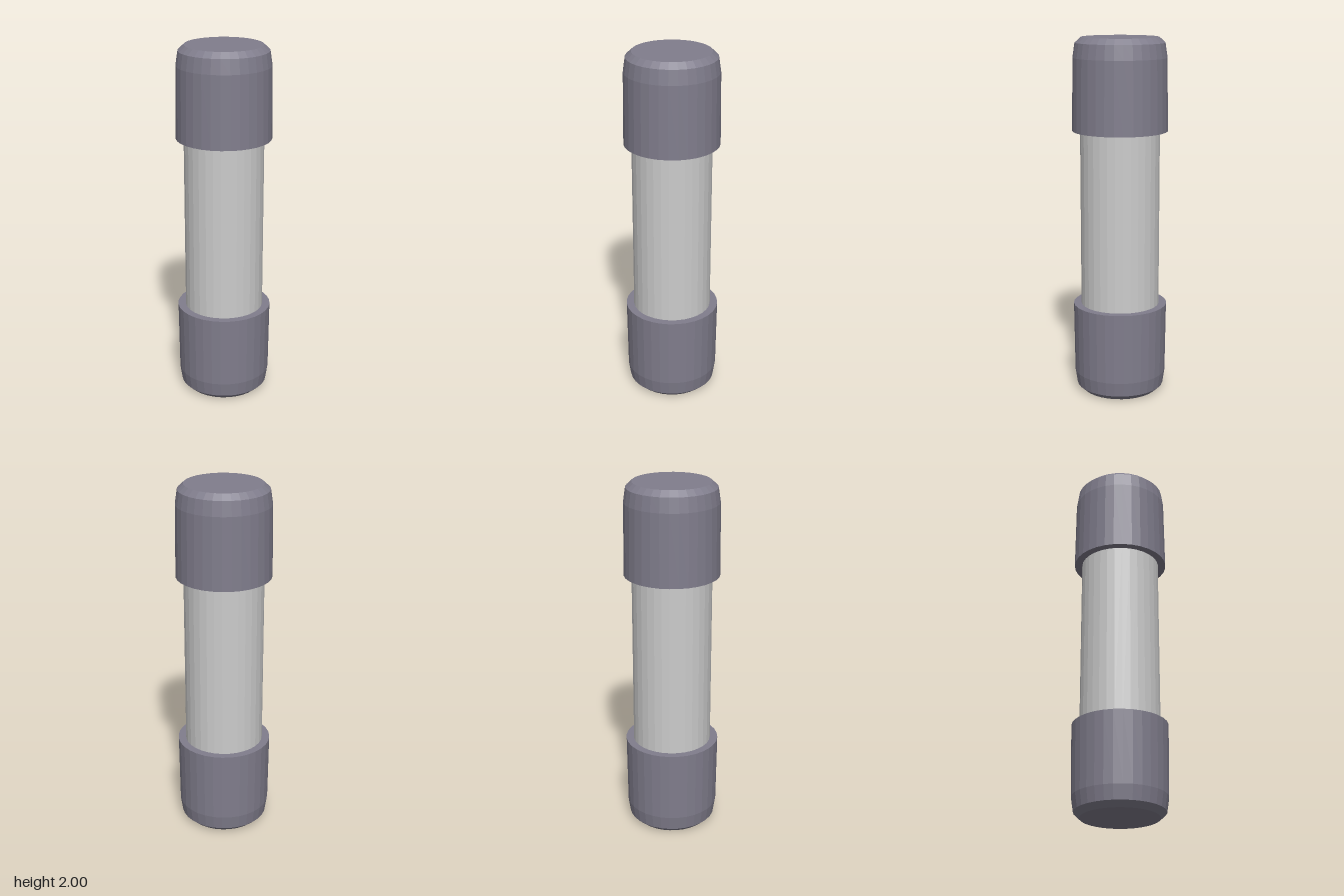
import * as THREE from 'three';

const SIDES = 32;
const HEIGHT = 2;

// End cap standing on y = 0, bevelled at its outer end, with a flat rim around the tube
function createCap(name, material) {
  const profile = [
    [0, 0], [0.213, 0], [0.246, 0.03], [0.258, 0.11], [0.263, 0.508], [0.21, 0.508],
  ].map(([r, y]) => new THREE.Vector2(r, y));
  const cap = new THREE.Mesh(new THREE.LatheGeometry(profile, SIDES), material);
  cap.name = name;
  return cap;
}

export function createModel() {
  const group = new THREE.Group();
  group.name = 'fuse';

  const metal = new THREE.MeshStandardMaterial({ color: 0x807d8c, flatShading: true });
  const glass = new THREE.MeshStandardMaterial({ color: 0xcccccc, flatShading: true });

  // Tube running between the caps
  const tube = new THREE.Mesh(new THREE.CylinderGeometry(0.22, 0.22, 1.1, SIDES, 1, true), glass);
  tube.name = 'tube';
  tube.position.y = HEIGHT / 2;

  // Matching caps, the upper one turned over
  const bottomCap = createCap('bottomCap', metal);
  const topCap = createCap('topCap', metal);
  topCap.rotation.x = Math.PI;
  topCap.position.y = HEIGHT;

  group.add(tube, bottomCap, topCap);
  return group;
}
